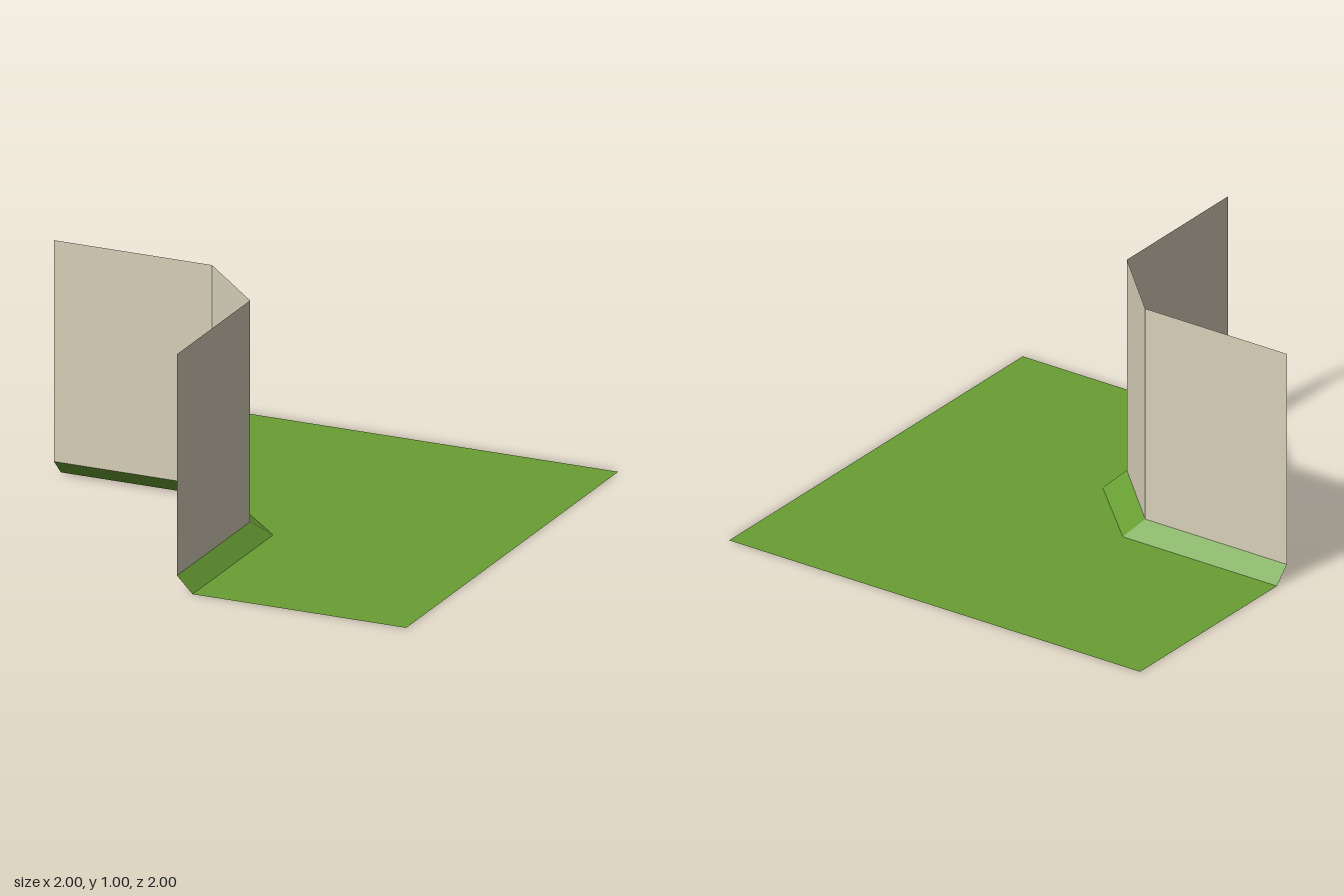
import * as THREE from 'three';

// Plan outlines [x, z]: the wall line, and the foot of the bank set outward from it
const WALL_LINE = [[-1, 0], [-0.31, 0], [0, 0.31], [0, 1]];
const BANK_FOOT = [[-1, -0.068], [-0.25, -0.068], [0.068, 0.24], [0.068, 1]];
const BANK_TOP = 0.068;
const WALL_TOP = 1;

// Flat-faced strip between a lower and an upper outline
function strip(lower, lowY, upper, highY) {
  const positions = [];
  for (let i = 0; i < lower.length - 1; i++) {
    const at = ([x, z], y) => [x, y, z];
    const a = at(lower[i], lowY), b = at(lower[i + 1], lowY);
    const c = at(upper[i], highY), d = at(upper[i + 1], highY);
    positions.push(...a, ...c, ...b, ...c, ...d, ...b);
  }
  const geometry = new THREE.BufferGeometry();
  geometry.setAttribute('position', new THREE.Float32BufferAttribute(positions, 3));
  geometry.computeVertexNormals();
  return geometry;
}

export function createModel() {
  const model = new THREE.Group();
  model.name = 'cornerWallTile';

  const grass = new THREE.MeshStandardMaterial({ color: 0x699e33, side: THREE.DoubleSide });
  grass.name = 'grass green';
  const stone = new THREE.MeshStandardMaterial({ color: 0xd8d0ba, side: THREE.DoubleSide });
  stone.name = 'pale stone';

  const add = (name, geometry, material) => {
    const mesh = new THREE.Mesh(geometry, material);
    mesh.name = name;
    model.add(mesh);
  };

  // L-shaped ground, with its inner edge along the foot of the bank
  const outline = [[-1, -1], [1, -1], [1, 1], ...[...BANK_FOOT].reverse()];
  const shape = new THREE.Shape(outline.map(([x, z]) => new THREE.Vector2(x, -z)));
  add('ground', new THREE.ShapeGeometry(shape).rotateX(-Math.PI / 2), grass);

  // Sloping bank, then the upright wall with its cut corner
  add('grassBank', strip(BANK_FOOT, 0, WALL_LINE, BANK_TOP), grass);
  add('wall', strip(WALL_LINE, BANK_TOP, WALL_LINE, WALL_TOP), stone);

  return model;
}
